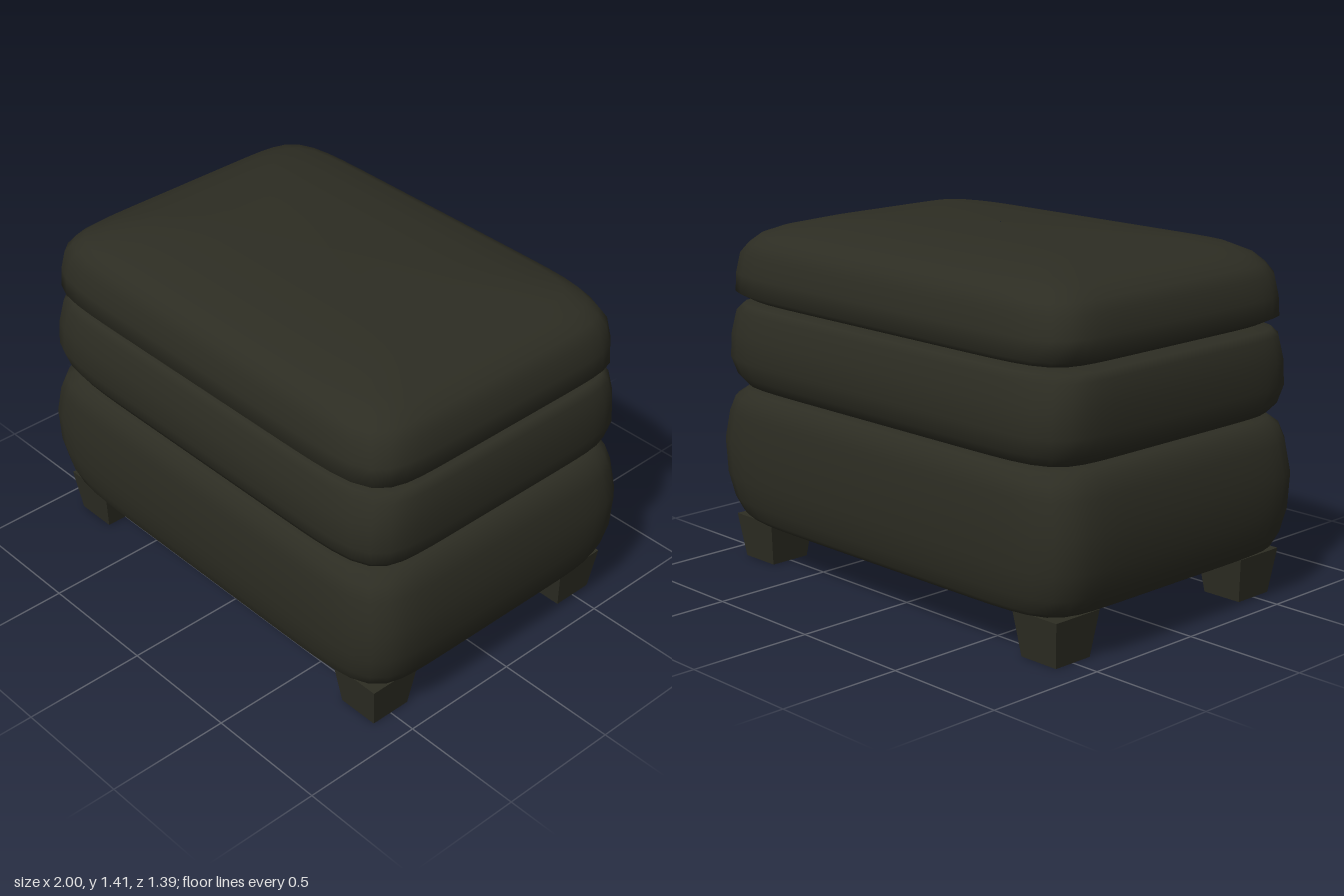
import * as THREE from 'three';

const SEG = 96;
const POWER = 9; // squareness of the cushion outline

// Cushion lofted from boxy superellipse rings: [y, half width, half depth]
function cushion(rings) {
  const pos = [], index = [];
  for (const [y, hx, hz] of rings) {
    for (let i = 0; i < SEG; i++) {
      const a = (i / SEG) * Math.PI * 2;
      const c = Math.cos(a), s = Math.sin(a);
      const r = Math.pow(Math.abs(c) ** POWER + Math.abs(s) ** POWER, -1 / POWER);
      pos.push(c * r * hx, y, s * r * hz);
    }
  }
  for (let j = 0; j < rings.length - 1; j++) {
    for (let i = 0; i < SEG; i++) {
      const a = j * SEG + i, b = j * SEG + (i + 1) % SEG;
      index.push(a, a + SEG, b, b, a + SEG, b + SEG);
    }
  }
  const g = new THREE.BufferGeometry();
  g.setAttribute('position', new THREE.Float32BufferAttribute(pos, 3));
  g.setIndex(index);
  g.computeVertexNormals();
  return g;
}

export function createModel() {
  const group = new THREE.Group();
  const leather = new THREE.MeshStandardMaterial({ name: 'darkOliveLeather', color: 0x2d2d23 });
  const lining = new THREE.MeshStandardMaterial({ name: 'brownLining', color: 0x563c36 });

  const add = (name, geometry, material) => {
    const mesh = new THREE.Mesh(geometry, material);
    mesh.name = name;
    group.add(mesh);
    return mesh;
  };

  // Three stacked cushions, bottom to top
  add('baseCushion', cushion([
    [0.178, 0.001, 0.001], [0.178, 0.87, 0.61], [0.18, 0.905, 0.635], [0.2, 0.94, 0.65],
    [0.26, 0.97, 0.672], [0.36, 0.993, 0.69], [0.5, 1, 0.695], [0.62, 0.975, 0.685],
    [0.68, 0.952, 0.67], [0.71, 0.915, 0.64], [0.722, 0.85, 0.58], [0.725, 0.001, 0.001],
  ]), leather);
  add('middleCushion', cushion([
    [0.718, 0.001, 0.001], [0.72, 0.86, 0.59], [0.73, 0.915, 0.63], [0.77, 0.95, 0.655],
    [0.84, 0.966, 0.678], [0.94, 0.963, 0.672], [1.03, 0.95, 0.652], [1.055, 0.925, 0.635],
    [1.066, 0.85, 0.57], [1.07, 0.001, 0.001],
  ]), leather);
  add('topCushion', cushion([
    [1.064, 0.001, 0.001], [1.066, 0.84, 0.56], [1.075, 0.89, 0.61], [1.105, 0.947, 0.657],
    [1.18, 0.942, 0.655], [1.26, 0.927, 0.642], [1.3, 0.895, 0.622], [1.335, 0.85, 0.595],
    [1.365, 0.775, 0.54], [1.395, 0.66, 0.39], [1.41, 0.48, 0.22], [1.414, 0.001, 0.001],
  ]), leather);

  // Underside lining with cut corners around the legs
  const w = 0.85, d = 0.59, cut = 0.2;
  const outline = new THREE.Shape([
    [w, d - cut], [w - cut, d], [cut - w, d], [-w, d - cut],
    [-w, cut - d], [cut - w, -d], [w - cut, -d], [w, cut - d],
  ].map(([x, y]) => new THREE.Vector2(x, y)));
  const panel = add('undersideLining', new THREE.ShapeGeometry(outline), lining);
  panel.rotation.x = Math.PI / 2;
  panel.position.y = 0.172;

  // Tapered square legs
  const leg = new THREE.CylinderGeometry(0.11 * Math.SQRT2, 0.086 * Math.SQRT2, 0.18, 4)
    .rotateY(Math.PI / 4).toNonIndexed();
  leg.computeVertexNormals();
  for (const x of [1, -1]) {
    for (const z of [1, -1]) {
      const name = (z > 0 ? 'front' : 'back') + (x > 0 ? 'Left' : 'Right') + 'Leg';
      add(name, leg, leather).position.set(x * 0.797, 0.09, z * 0.5);
    }
  }
  return group;
}
